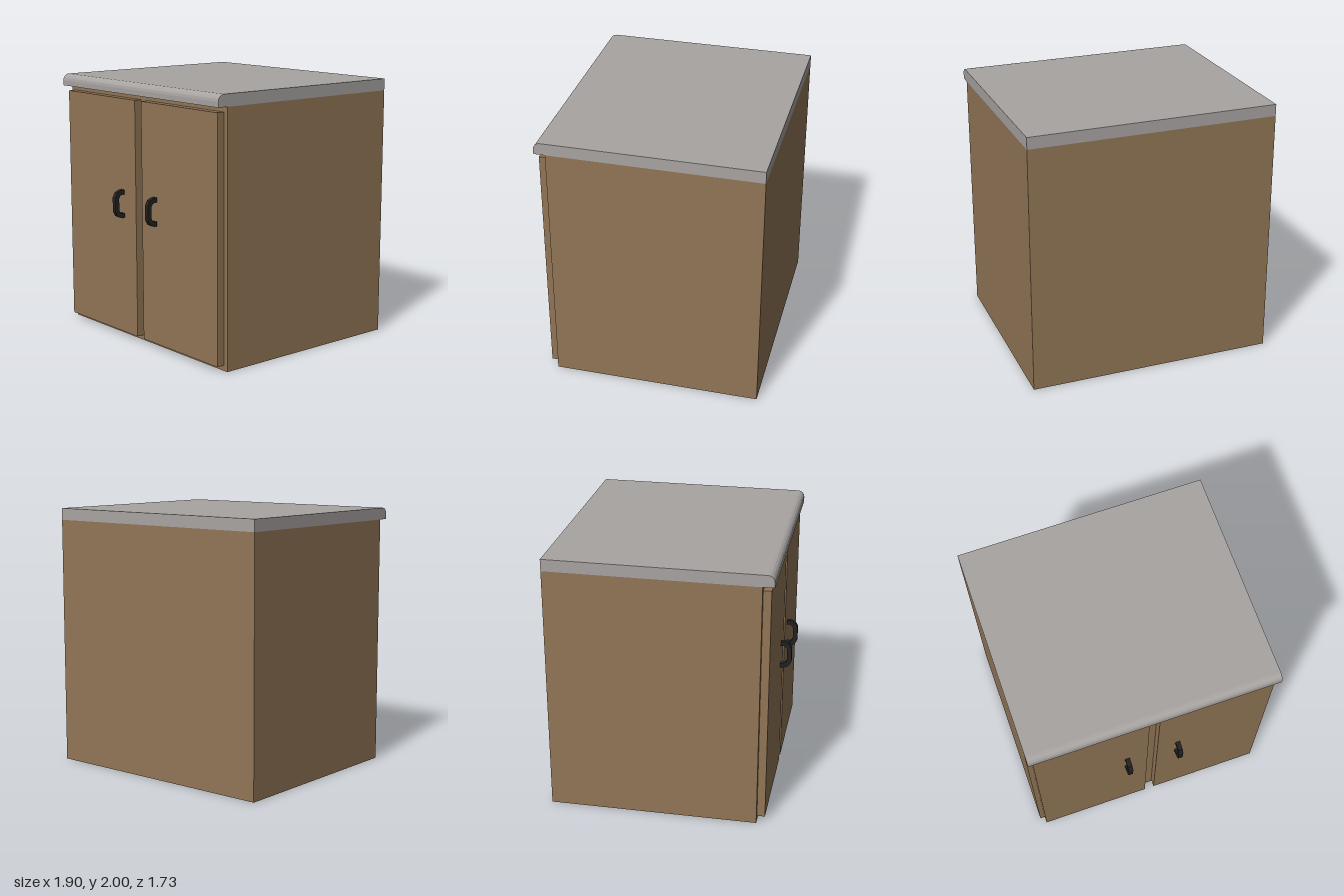
import * as THREE from 'three';

const wood = new THREE.MeshStandardMaterial({ name: 'wood', color: 0x927656 });
const stone = new THREE.MeshStandardMaterial({ name: 'stone', color: 0xa8a4a2 });
const black = new THREE.MeshStandardMaterial({ name: 'black', color: 0x222222 });

function add(group, name, geometry, material, x = 0, y = 0, z = 0) {
  const mesh = new THREE.Mesh(geometry, material);
  mesh.name = name;
  mesh.position.set(x, y, z);
  group.add(mesh);
}

// Extrudes a side profile of [z, y] points across x, centred on x = 0
function extrudeSide(points, width) {
  const shape = new THREE.Shape(points.map(([z, y]) => new THREE.Vector2(z, y)));
  const geometry = new THREE.ExtrudeGeometry(shape, { depth: width, bevelEnabled: false });
  return geometry.translate(0, 0, -width / 2).rotateY(-Math.PI / 2);
}

export function createModel() {
  const model = new THREE.Group();
  model.name = 'cabinet';

  // Carcass
  add(model, 'body', new THREE.BoxGeometry(1.9, 1.91, 1.585), wood, 0, 0.955, -0.0725);

  // Countertop with a rounded front edge
  const back = -0.865, front = 0.805, radius = 0.05;
  const top = [[back, 1.91], [front, 1.91]];
  for (let i = 0; i <= 4; i++) {
    const a = (i / 4) * Math.PI / 2;
    top.push([front - radius + radius * Math.cos(a), 2 - radius + radius * Math.sin(a)]);
  }
  top.push([back, 2]);
  add(model, 'countertop', extrudeSide(top, 1.9), stone);

  // Handle: faceted arch, half profile mirrored about its middle height
  const outer = [[0.775, 0.108], [0.81, 0.108], [0.845, 0.092], [0.865, 0.055]];
  const inner = [[0.83, 0.045], [0.82, 0.064], [0.803, 0.074], [0.775, 0.074]];
  const flip = (list) => list.map(([z, y]) => [z, -y]).reverse();
  const handle = extrudeSide([...outer, ...flip(outer), ...flip(inner), ...inner], 0.036);

  // Pair of doors with handles
  for (const [side, s] of [['left', 1], ['right', -1]]) {
    add(model, side + 'Door', new THREE.BoxGeometry(0.873, 1.83, 0.06), wood, s * 0.4755, 0.955, 0.75);
    add(model, side + 'Handle', handle, black, s * 0.203, 1.063, 0);
  }
  return model;
}
